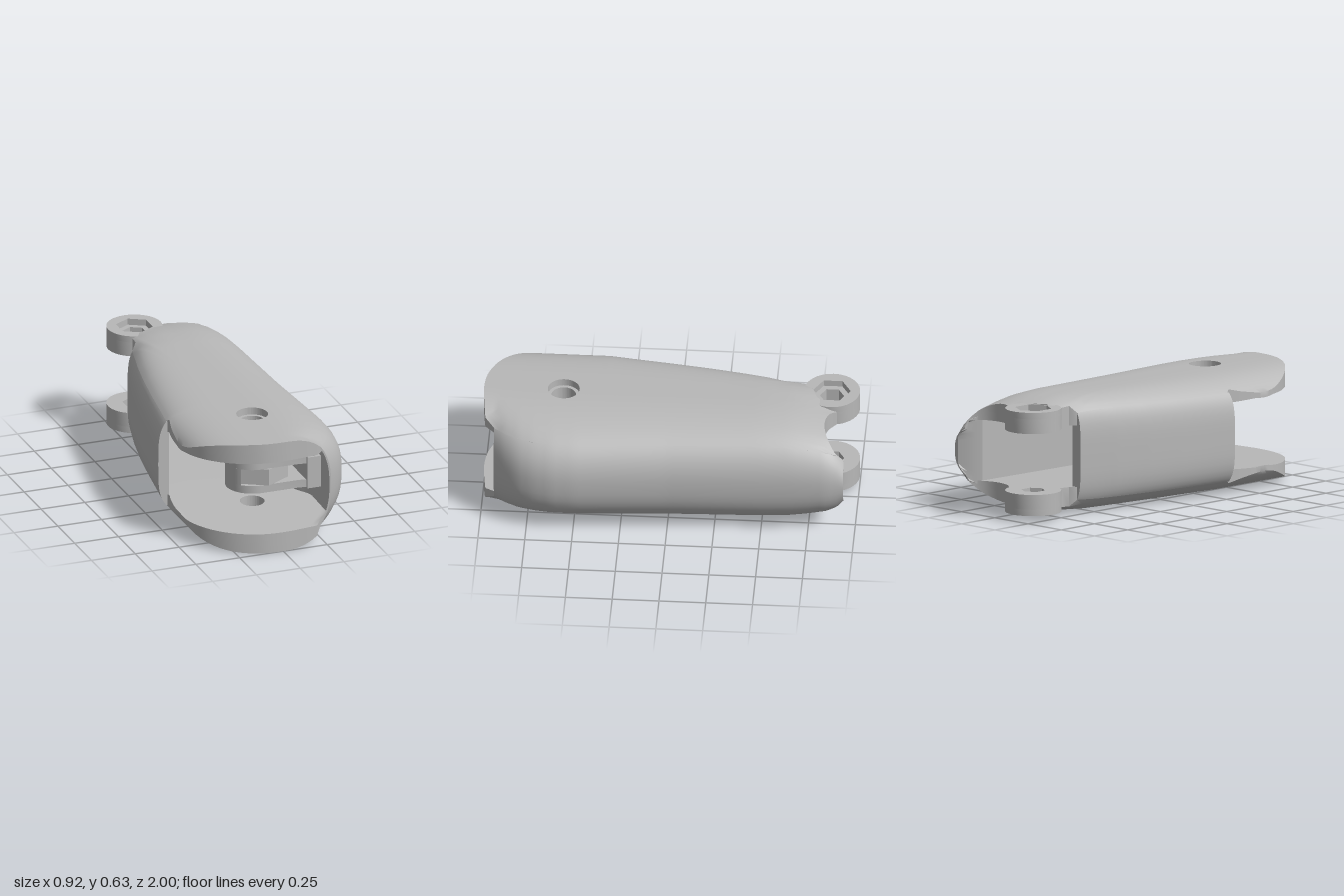
import * as THREE from 'three';
import { toCreasedNormals } from 'three/addons/utils/BufferGeometryUtils.js';

const MID = 0.315; // mid height, the body is mirrored above and below it
const PIVOT = { x: -0.015, z: 0.575 };
const LUG = { x: -0.14, z: -0.85 };
const LEFT_EDGE = 0.9, RIGHT_EDGE = 0.8; // where plates hand over to side walls

// Piecewise-linear profile along z, given as [z, value] pairs
function profile(points) {
  return (z) => {
    if (z <= points[0][0]) return points[0][1];
    for (let i = 1; i < points.length; i++) {
      const [z0, v0] = points[i - 1], [z1, v1] = points[i];
      if (z <= z1) return v0 + (v1 - v0) * (z - z0) / (z1 - z0);
    }
    return points[points.length - 1][1];
  };
}
const leftWidth = profile([[-0.62, 0.268], [-0.4, 0.328], [-0.2, 0.372], [0, 0.408], [0.2, 0.44], [0.35, 0.465]]);
const rightWidth = profile([[-0.94, 0.36], [-0.85, 0.38], [-0.7, 0.388], [0, 0.42], [0.5, 0.46], [0.62, 0.458],
  [0.72, 0.44], [0.8, 0.41], [0.87, 0.36], [0.93, 0.3]]);
const halfHeight = profile([[-0.94, 0.18], [-0.92, 0.215], [-0.9, 0.238], [-0.85, 0.266], [-0.75, 0.29], [-0.65, 0.307], [-0.5, 0.315]]);
const innerY = profile([[-0.85, 0.48], [0.2, 0.49], [1, 0.52]]);
const rightInner = profile([[-0.94, 0.335], [-0.9, 0.285], [-0.85, 0.243], [0.5, 0.243], [0.6, 0.31], [0.93, 0.31]]);

// Height of the outer skin at a point, a rounded cross-section
function skin(x, z) {
  const [w, e] = x < 0 ? [leftWidth(z), 4] : [rightWidth(z), 2.5];
  const u = Math.min(1, Math.abs(x) / w);
  return MID + halfHeight(z) * Math.pow(1 - Math.pow(u, e), 1 / e);
}

// Joins equal-length loops of points; open lofts get end caps
function loft(loops, closed) {
  const n = loops[0].length, m = loops.length, index = [];
  const quad = (a, b, c, d) => index.push(a, b, c, a, c, d);
  for (let i = 0; i < (closed ? m : m - 1); i++) {
    const p = i * n, q = ((i + 1) % m) * n;
    for (let j = 0; j < n; j++) {
      const k = (j + 1) % n;
      quad(p + j, p + k, q + k, q + j);
    }
  }
  if (!closed) {
    const e = (m - 1) * n;
    for (let k = 0; k < n / 2 - 1; k++) {
      quad(n - 1 - k, n - 2 - k, k + 1, k);
      quad(e + k, e + k + 1, e + n - 2 - k, e + n - 1 - k);
    }
  }
  const g = new THREE.BufferGeometry();
  g.setAttribute('position', new THREE.Float32BufferAttribute(loops.flat(2), 3));
  g.setIndex(index);
  return toCreasedNormals(g, 0.6);
}

// Smooth run of plan points through the given ones
const smooth = (points, count) => new THREE.SplineCurve(points.map(([x, z]) => new THREE.Vector2(x, z)))
  .getPoints(count).map((p) => [p.x, p.y]);

// Plan outline of a plate: right edge backwards, rear scoop and lug neck, left edge forwards, round nose
function plateOutline() {
  const pts = [];
  for (let z = 0.93; z > -0.89; z -= 0.03) pts.push([RIGHT_EDGE * rightWidth(z), z]);
  pts.push(...smooth([[0.293, -0.9], [0.255, -0.865], [0.2, -0.838], [0.13, -0.828], [0.06, -0.845], [0.0, -0.89]], 20));
  pts.push([-0.03, -0.84], [-0.07, -0.775], [-0.14, -0.745], [-0.2, -0.765], [-0.205, -0.7], [-0.21, -0.65]);
  for (let z = -0.62; z < 0.35; z += 0.03) pts.push([-LEFT_EDGE * leftWidth(z), z]);
  pts.push(...smooth([[-0.405, 0.36], [-0.425, 0.45], [-0.438, 0.6], [-0.42, 0.72], [-0.36, 0.83], [-0.26, 0.925],
    [-0.13, 0.985], [0, 1], [0.12, 0.99], [0.2, 0.98]], 40));
  return pts;
}

// Plate radiating from its stepped pivot hole to the outline
function plateGeometry(upper) {
  const steps = 24, hole = 0.066, recess = 0.085, recessDepth = 0.04;
  const loops = plateOutline().map(([ox, oz]) => {
    const dx = ox - PIVOT.x, dz = oz - PIVOT.z, r = Math.hypot(dx, dz);
    const top = [], under = [];
    const place = (radius, height) => {
      const x = PIVOT.x + dx * radius / r, z = PIVOT.z + dz * radius / r, y = height(x, z);
      return [x, upper ? y : 2 * MID - y, z];
    };
    const sunk = (x, z) => skin(x, z) - recessDepth;
    const inner = (x, z) => Math.min(innerY(z), skin(x, z) - 0.03);
    top.push(place(hole, sunk), place(recess, sunk));
    for (let s = 0; s <= steps; s++) {
      top.push(place(recess + (r - recess) * s / steps, skin));
      under.unshift(place(hole + (r - hole) * s / steps, inner));
    }
    const loop = [...top, ...under];
    return upper ? loop : loop.reverse();
  });
  return loft(loops, true);
}

// Side wall: rounded outside, flat inside
function wallGeometry(side, z0, z1, edge, exponent, width, inner) {
  const loops = [], rows = 16, stations = 60;
  const yMax = Math.pow(1 - Math.pow(edge, exponent), 1 / exponent);
  for (let i = 0; i <= stations; i++) {
    const z = z0 + (z1 - z0) * i / stations, outside = [], inside = [];
    for (let j = 0; j <= rows; j++) {
      const v = yMax * Math.sin((j / rows - 0.5) * Math.PI);
      const y = MID + halfHeight(z) * v;
      const x = width(z) * Math.pow(1 - Math.pow(Math.abs(v), exponent), 1 / exponent);
      outside.push([side * x, y, z]);
      inside.unshift([side * Math.min(inner(z), x - 0.01), y, z]);
    }
    const loop = [...outside, ...inside];
    loops.push(side > 0 ? loop : loop.reverse());
  }
  return loft(loops, false);
}

// Plan shape extruded upwards from y0 to y1
function extrudeUp(shape, y0, y1) {
  const g = new THREE.ExtrudeGeometry(shape, { depth: y1 - y0, bevelEnabled: false, curveSegments: 20 });
  g.rotateX(-Math.PI / 2).translate(0, y0, 0);
  return toCreasedNormals(g, 0.6);
}
// Cuts a polygonal hole in a plan shape
function withHole(shape, c, radius, sides) {
  const hole = [];
  for (let i = 0; i < sides; i++) {
    const a = (i + 0.5) / sides * Math.PI * 2;
    hole.push(new THREE.Vector2(c.x + radius * Math.cos(a), -c.z + radius * Math.sin(a)));
  }
  shape.holes.push(new THREE.Path(hole));
  return shape;
}
const lugShape = (holeRadius) => withHole(new THREE.Shape().absarc(LUG.x, -LUG.z, 0.15, 0, Math.PI * 2), LUG, holeRadius, 6);

export function createModel() {
  const model = new THREE.Group();
  const grey = new THREE.MeshStandardMaterial({ color: 0xb8b8b8 });
  grey.name = 'grey plastic';
  const add = (name, geometry) => {
    const mesh = new THREE.Mesh(geometry, grey);
    mesh.name = name;
    model.add(mesh);
  };

  // Hollow body
  add('topPlate', plateGeometry(true));
  add('bottomPlate', plateGeometry(false));
  add('leftWall', wallGeometry(1, -0.94, 0.93, RIGHT_EDGE, 2.5, rightWidth, rightInner));
  add('rightWall', wallGeometry(-1, -0.62, 0.35, LEFT_EDGE, 4, leftWidth, (z) => leftWidth(z) - 0.06));

  // Rear hinge lugs with a hexagonal recess on the outer side
  add('upperLug', extrudeUp(lugShape(0.065), 0.48, 0.56));
  add('upperLugRim', extrudeUp(lugShape(0.1), 0.56, 0.595));
  add('lowerLug', extrudeUp(lugShape(0.065), 0.07, 0.15));
  add('lowerLugRim', extrudeUp(lugShape(0.1), 0.035, 0.07));

  // Inner tongues reaching from the left wall around the pivot
  const r = 0.145;
  for (const [name, y0, y1] of [['lowerTongue', 0.228, 0.272], ['upperTongue', 0.364, 0.407]]) {
    const shape = new THREE.Shape();
    shape.moveTo(0.33, -PIVOT.z + r + 0.03);
    shape.lineTo(0.2, -PIVOT.z + r);
    shape.absarc(PIVOT.x, -PIVOT.z, r, Math.PI / 2, Math.PI * 1.5);
    shape.lineTo(0.2, -PIVOT.z - r);
    shape.lineTo(0.33, -PIVOT.z - r - 0.03);
    add(name, extrudeUp(withHole(shape, PIVOT, 0.068, 8), y0, y1));
  }

  // Rounded end closing the slot between the tongues
  const end = new THREE.Shape().absarc(PIVOT.x, -PIVOT.z, r, Math.PI * 0.75, Math.PI * 1.25);
  add('tongueEnd', extrudeUp(end, 0.272, 0.364));

  // Block joining the tongues to the wall
  add('tongueRoot', new THREE.BoxGeometry(0.09, 0.178, 0.35).translate(0.28, 0.3175, PIVOT.z));

  // Faceted spacer between the tongues
  const hex = new THREE.Shape();
  for (let i = 0; i < 6; i++) {
    const a = i * Math.PI / 3 + Math.PI / 6;
    hex[i ? 'lineTo' : 'moveTo'](0.02 + 0.16 * Math.cos(a), -PIVOT.z + 0.16 * Math.sin(a));
  }
  add('pivotSpacer', extrudeUp(withHole(hex, PIVOT, 0.068, 8), 0.272, 0.364));
  return model;
}
